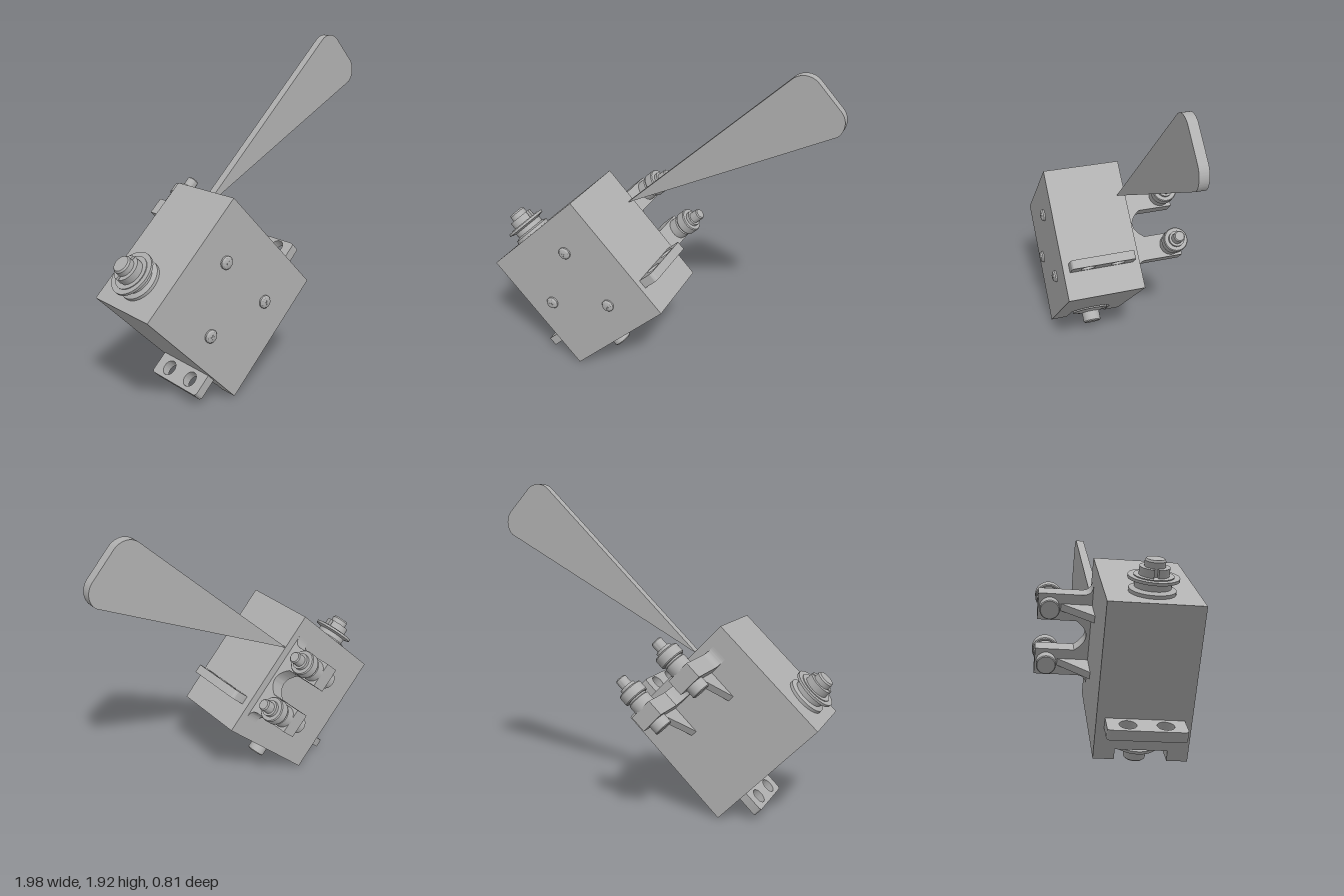
import * as THREE from 'three';
import { toCreasedNormals } from 'three/addons/utils/BufferGeometryUtils.js';

const grey = new THREE.MeshStandardMaterial({ color: 0xb0b0b0 });
grey.name = 'plain grey';

function add(parent, name, geometry, x = 0, y = 0, z = 0) {
  const mesh = new THREE.Mesh(geometry, grey);
  mesh.name = name;
  mesh.position.set(x, y, z);
  parent.add(mesh);
  return mesh;
}

function extrude(shape, depth) {
  const geo = new THREE.ExtrudeGeometry(shape, { depth, bevelEnabled: false, curveSegments: 20 });
  return toCreasedNormals(geo, 0.5);
}

// Shape drawn in (x, -z), thickened upward along y
const slab = (shape, depth) => extrude(shape, depth).rotateX(-Math.PI / 2);

function hole(shape, x, y, r) {
  const path = new THREE.Path();
  path.absarc(x, y, r, 0, Math.PI * 2, true);
  shape.holes.push(path);
}

// Turned part from [radius, height] points, axis along y
function turned(points) {
  const geo = new THREE.LatheGeometry(points.map(p => new THREE.Vector2(p[0], p[1])), 32);
  return toCreasedNormals(geo.toNonIndexed(), 0.5);
}

function roundedRect(x0, y0, x1, y1, r) {
  const s = new THREE.Shape();
  s.moveTo(x0 + r, y0);
  s.absarc(x1 - r, y0 + r, r, -Math.PI / 2, 0);
  s.absarc(x1 - r, y1 - r, r, 0, Math.PI / 2);
  s.absarc(x0 + r, y1 - r, r, Math.PI / 2, Math.PI);
  s.absarc(x0 + r, y0 + r, r, Math.PI, Math.PI * 1.5);
  return s;
}

export function createModel() {
  const model = new THREE.Group();
  model.name = 'gearboxWithArm';
  // Everything is built upright, then tilted about z
  const tilted = new THREE.Group();
  tilted.name = 'tiltedAssembly';
  tilted.position.set(-0.407, 0.572, 0);
  tilted.rotation.z = THREE.MathUtils.degToRad(43.8);
  model.add(tilted);

  const W = 0.3925, H = 0.4085, zBack = -0.0975, zFront = 0.378;
  const depth = zFront - zBack, zMid = (zFront + zBack) / 2;
  const pocket = 0.055, shaftX = -0.21, shaftZ = 0.14, slotR = 0.132;

  // Housing: solid block over a layer with an open-ended slot
  add(tilted, 'housing', new THREE.BoxGeometry(W * 2, H * 2 - pocket, depth), 0, pocket / 2, zMid);
  const base = new THREE.Shape();
  base.moveTo(-W, -zFront);
  base.lineTo(W, -zFront);
  base.lineTo(W, -zBack);
  base.lineTo(-W, -zBack);
  base.lineTo(-W, -shaftZ + slotR);
  base.lineTo(shaftX, -shaftZ + slotR);
  base.absarc(shaftX, -shaftZ, slotR, Math.PI / 2, -Math.PI / 2, true);
  base.lineTo(-W, -shaftZ - slotR);
  add(tilted, 'slottedHousingBase', slab(base, pocket), 0, -H, 0);

  // Flat arm with one large and four small holes
  const arm = new THREE.Shape();
  arm.moveTo(W - 0.01, -0.19);
  arm.absarc(1.715, -0.09, 0.1, -Math.PI / 2, 0);
  arm.absarc(1.715, 0.09, 0.1, 0, Math.PI / 2);
  arm.lineTo(W - 0.01, 0.19);
  hole(arm, 1.6, 0, 0.093);
  for (let i = 0; i < 4; i++) {
    const a = i * Math.PI / 2;
    hole(arm, 1.6 + 0.127 * Math.cos(a), 0.127 * Math.sin(a), 0.026);
  }
  add(tilted, 'arm', extrude(arm, 0.0525), 0, 0, zBack);

  // Mounting tabs on both sides, each with two holes
  for (const [side, end] of [[1, 0.495], [-1, 0.52]]) {
    const x0 = side > 0 ? W - 0.03 : -end, x1 = side > 0 ? end : -W + 0.03;
    const tab = roundedRect(x0, -0.34, x1, 0.055, 0.02);
    for (const z of [0.05, 0.235]) hole(tab, side * (end + W) / 2, -z, 0.043);
    add(tilted, 'mountingTab', slab(tab, 0.054), 0, -0.24, 0);
  }

  // Pulley on the top face
  add(tilted, 'pulley', turned([[0, 0], [0.118, 0], [0.118, 0.02], [0.092, 0.03], [0.092, 0.06],
    [0.128, 0.07], [0.128, 0.085], [0.1, 0.085], [0.1, 0.09], [0, 0.09]]), shaftX, H - 0.002, shaftZ);
  add(tilted, 'pulleyShaft', turned([[0, 0], [0.052, 0], [0.052, 0.16], [0.045, 0.17], [0, 0.17]]),
    shaftX, H, shaftZ);
  for (const start of [0.15, Math.PI + 0.15]) {
    const half = new THREE.Shape();
    half.absarc(0, 0, 0.075, start, start + 2.84, false);
    half.absarc(0, 0, 0.05, start + 2.84, start, true);
    add(tilted, 'splitCollar', slab(half, 0.045), shaftX, H + 0.085, shaftZ);
  }

  // Output shaft and flange inside the slot
  add(tilted, 'outputShaft', turned([[0, -0.49], [0.05, -0.49], [0.057, -0.483], [0.057, -0.425],
    [0.095, -0.415], [0.115, -0.415], [0.115, -0.4], [0.1, -0.395], [0.1, -0.35], [0, -0.35]]),
    shaftX, 0, shaftZ);

  // Domed cross-head screws on the front, placed in the tilted frame
  const c = Math.cos(tilted.rotation.z), s = Math.sin(tilted.rotation.z);
  for (const [wx, wy] of [[-0.463, 0.798], [-0.186, 0.507], [-0.575, 0.414]]) {
    const dx = wx + 0.407, dy = wy - 0.572;
    const screw = new THREE.Group();
    screw.name = 'screw';
    screw.position.set(dx * c + dy * s, -dx * s + dy * c, zFront);
    screw.rotation.z = -tilted.rotation.z;
    tilted.add(screw);
    add(screw, 'screwHead', turned([[0.037, -0.002], [0.037, 0.01], [0.03, 0.019], [0.018, 0.023],
      [0, 0.024]]).rotateX(Math.PI / 2));
    add(screw, 'crossBar', new THREE.BoxGeometry(0.026, 0.006, 0.006), 0, 0, 0.022);
    add(screw, 'crossBar', new THREE.BoxGeometry(0.006, 0.026, 0.006), 0, 0, 0.022);
  }

  // Two-fingered bracket on the back with flared feet
  const fork = new THREE.Shape();
  fork.moveTo(-0.295, 0);
  fork.lineTo(0.295, 0);
  fork.quadraticCurveTo(0.235, 0, 0.235, 0.06);
  fork.lineTo(0.235, 0.295);
  fork.lineTo(0.085, 0.295);
  fork.lineTo(0.085, 0.08);
  fork.quadraticCurveTo(0, -0.04, -0.085, 0.08);
  fork.lineTo(-0.085, 0.295);
  fork.lineTo(-0.235, 0.295);
  fork.lineTo(-0.235, 0.06);
  fork.quadraticCurveTo(-0.235, 0, -0.295, 0);
  const toBack = new THREE.Matrix4().makeBasis(new THREE.Vector3(0, -1, 0),
    new THREE.Vector3(0, 0, -1), new THREE.Vector3(1, 0, 0));
  add(tilted, 'forkBracket', extrude(fork, 0.1).applyMatrix4(toBack), 0.24, 0, zBack);

  // Gusset and roller stack for each finger
  for (const y of [0.16, -0.16]) {
    const rib = new THREE.Shape();
    rib.moveTo(0.06, 0);
    rib.lineTo(0.25, 0);
    rib.lineTo(0.25, 0.18);
    add(tilted, 'gusset', slab(rib, 0.04), 0, y - 0.02, zBack);
    const profile = [[0, 0.18], [0.05, 0.18], [0.055, 0.185], [0.055, 0.245], [0.04, 0.245],
      [0.04, 0.335], [0.066, 0.335], [0.066, 0.395], [0.058, 0.4], [0.058, 0.41], [0.07, 0.41],
      [0.075, 0.416], [0.075, 0.468], [0.07, 0.475], [0.048, 0.475], [0.048, 0.495],
      [0.034, 0.495], [0.034, 0.548], [0.028, 0.555], [0, 0.555]];
    add(tilted, 'rollerStack', turned(profile).rotateZ(-Math.PI / 2), 0, y, -0.33);
  }
  return model;
}
